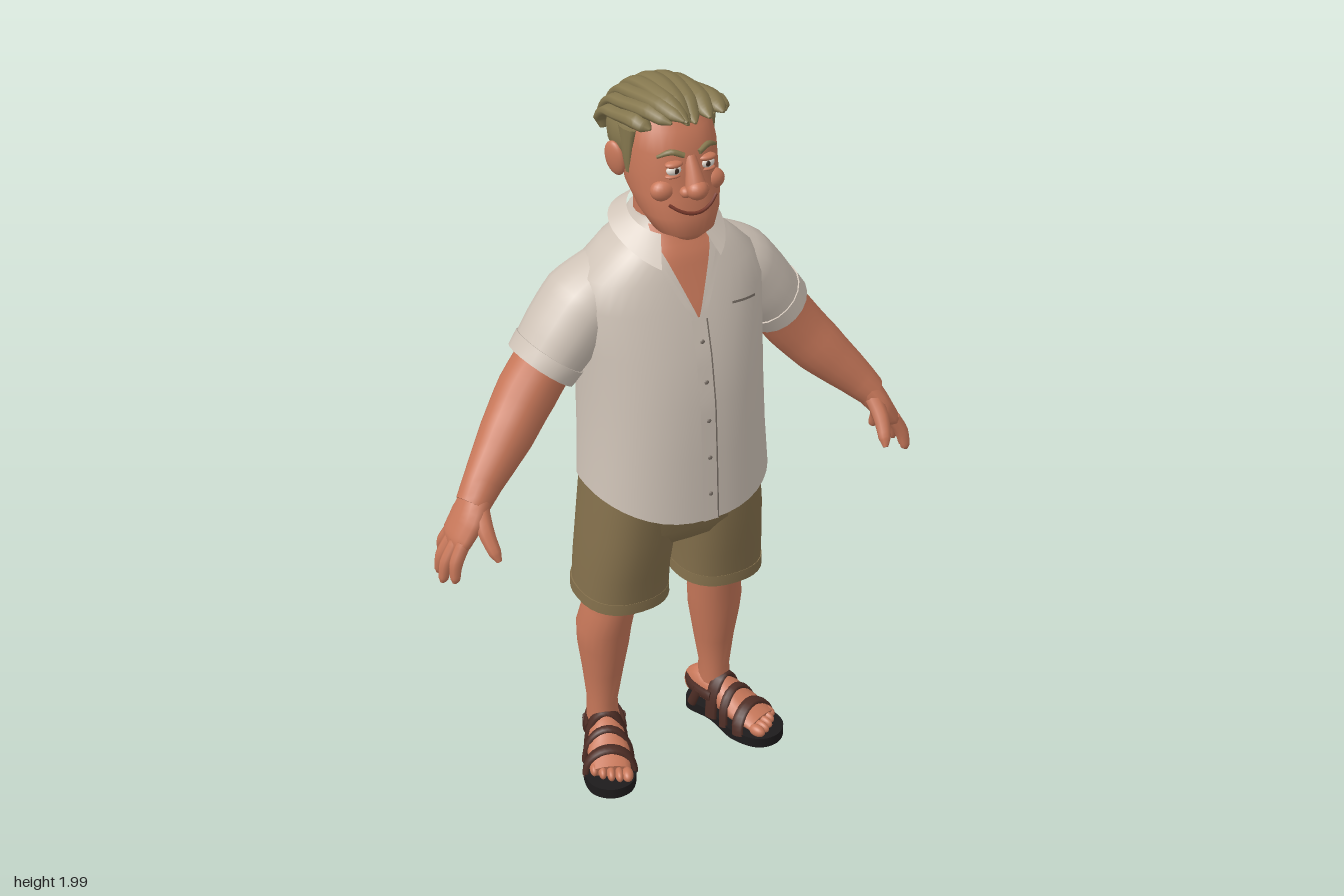
import * as THREE from 'three';

const mat = (name, color) => Object.assign(new THREE.MeshStandardMaterial({ color, side: THREE.DoubleSide }), { name });
const V = (x, y, z) => new THREE.Vector3(x, y, z);

// Closed tube through rings of points, capped at both ends
function loft(rings) {
  const n = rings[0].length, pos = [], idx = [];
  rings.forEach(r => r.forEach(p => pos.push(p.x, p.y, p.z)));
  for (let i = 0; i < rings.length - 1; i++) for (let j = 0; j < n; j++) {
    const a = i * n + j, b = i * n + (j + 1) % n;
    idx.push(a, b, b + n, a, b + n, a + n);
  }
  [rings[0], rings[rings.length - 1]].forEach((r, end) => {
    const c = V(0, 0, 0), base = pos.length / 3;
    r.forEach(p => c.addScaledVector(p, 1 / n));
    [c, ...r].forEach(p => pos.push(p.x, p.y, p.z));
    for (let j = 0; j < n; j++) {
      const a = base + 1 + j, b = base + 1 + (j + 1) % n;
      end ? idx.push(base, a, b) : idx.push(base, b, a);
    }
  });
  const g = new THREE.BufferGeometry();
  g.setAttribute('position', new THREE.Float32BufferAttribute(pos, 3));
  g.setIndex(idx);
  g.computeVertexNormals();
  return g;
}

// Horizontal rings from rows [y, centreX, halfWidth, frontZ, backZ]; lift raises the sides of the lowest ring
function stack(rows, p = 2.3, lift = 0, n = 32) {
  const pw = v => Math.sign(v) * Math.abs(v) ** (2 / p);
  return loft(rows.map(([y, cx, rx, f, b], i) => Array.from({ length: n }, (_, j) => {
    const a = j / n * Math.PI * 2, s = Math.sin(a), c = Math.cos(a);
    return V(cx + rx * pw(s), y + (i ? 0 : lift * s * s), (f + b) / 2 + (f - b) / 2 * pw(c));
  })));
}

// Front z of a stack at (x, y)
function frontZ(rows, x, y, p = 2.3) {
  let i = 0;
  while (i < rows.length - 2 && rows[i + 1][0] < y) i++;
  const t = (y - rows[i][0]) / (rows[i + 1][0] - rows[i][0]);
  const [, , rx, f, b] = rows[i].map((v, k) => v + (rows[i + 1][k] - v) * t);
  return (f + b) / 2 + (f - b) / 2 * Math.max(0, 1 - Math.abs(x / rx) ** p) ** (1 / p);
}

// Tapered limb along points [x, y, z, radiusAcross, radiusAlongRef]
function limb(rows, ref = V(0, 0, 1), n = 12, steps = (rows.length - 1) * 4) {
  const curve = new THREE.CatmullRomCurve3(rows.map(r => V(r[0], r[1], r[2])));
  const rings = [];
  for (let i = 0; i <= steps; i++) {
    const t = i / steps, q = t * (rows.length - 1), k = Math.min(Math.floor(q), rows.length - 2), f = q - k;
    const ru = rows[k][3] + (rows[k + 1][3] - rows[k][3]) * f, rw = rows[k][4] + (rows[k + 1][4] - rows[k][4]) * f;
    const c = curve.getPoint(t), T = curve.getTangent(t);
    const w = ref.clone().addScaledVector(T, -ref.dot(T)).normalize(), u = T.clone().cross(w);
    rings.push(Array.from({ length: n }, (_, j) => {
      const a = j / n * Math.PI * 2;
      return c.clone().addScaledVector(u, ru * Math.sin(a)).addScaledVector(w, rw * Math.cos(a));
    }));
  }
  return loft(rings);
}

// Open sheet from a function of (u, v)
function sheet(fn, nu, nv) {
  const g = new THREE.PlaneGeometry(1, 1, nu, nv), P = g.attributes.position;
  for (let i = 0; i < P.count; i++) {
    const q = fn(P.getX(i) + 0.5, P.getY(i) + 0.5);
    P.setXYZ(i, q.x, q.y, q.z);
  }
  g.computeVertexNormals();
  return g;
}

export function createModel() {
  const skin = mat('skin', 0xc8785a), cloth = mat('shirt cloth', 0xcfc3b7), khaki = mat('shorts cloth', 0x84704c);
  const hairM = mat('hair', 0x86784f), leather = mat('sandal leather', 0x4d2d25), rubber = mat('sole rubber', 0x1d1b1c);
  const white = mat('eye white', 0xe8e0d6), dark = mat('iris', 0x3a2a22), lip = mat('mouth', 0x7a3a2c), seam = mat('seam', 0x7d736a);
  const model = new THREE.Group();
  const add = (name, geo, m, parent = model) => {
    const mesh = new THREE.Mesh(geo, m);
    mesh.name = name;
    parent.add(mesh);
    return mesh;
  };
  const ball = (name, m, x, y, z, rx, ry, rz, parent) => {
    const b = add(name, new THREE.SphereGeometry(1, 20, 14), m, parent);
    b.position.set(x, y, z);
    b.scale.set(rx, ry, rz);
    return b;
  };
  const X = V(1, 0, 0), Y = V(0, 1, 0);

  // Shirt body, opening, placket and pocket edge
  const body = [[0.87, 0, 0.25, 0.215, -0.2], [1.05, 0, 0.243, 0.205, -0.205], [1.2, 0, 0.24, 0.195, -0.212],
    [1.33, 0, 0.246, 0.172, -0.215], [1.45, 0, 0.255, 0.138, -0.203], [1.52, 0, 0.232, 0.112, -0.185],
    [1.58, 0, 0.165, 0.09, -0.165], [1.62, 0, 0.105, 0.065, -0.14], [1.66, 0, 0.085, 0.045, -0.118]];
  add('shirtBody', stack(body, 2.3, 0.06, 40), cloth);
  const onShirt = (x, y, d = 0.005) => V(x, y, frontZ(body, x, y) + d);
  const vee = v => 0.002 + 0.073 * Math.min(1, v / 0.85);
  add('openNeck', sheet((u, v) => onShirt((2 * u - 1) * vee(v), 1.43 + 0.22 * v), 12, 14), skin);
  for (const s of [-1, 1])
    add('neckEdge', sheet((u, v) => onShirt(s * (vee(v) + 0.014 * u), 1.425 + 0.17 * v, 0.008), 2, 12), cloth);
  add('placket', sheet((u, v) => onShirt(-0.022 + 0.044 * u, 0.872 + 0.555 * v, 0.006), 2, 18), cloth);
  add('placketSeam', sheet((u, v) => onShirt(0.018 + 0.004 * u, 0.875 + 0.55 * v, 0.008), 1, 18), seam);
  add('pocketEdge', sheet((u, v) => onShirt(0.1 + 0.08 * u, 1.437 - 0.012 * u + 0.006 * v, 0.006), 8, 1), seam);
  for (let i = 0; i < 5; i++) {
    const p = onShirt(0, 0.95 + i * 0.105, 0.007);
    ball('button', seam, p.x, p.y, p.z, 0.006, 0.006, 0.003);
  }
  // Folded collar, open at the front
  add('collar', sheet((u, v) => {
    const a = 0.6 + u * (2 * Math.PI - 1.2), s = Math.sin(a), c = Math.cos(a), f = (1 + c) / 2;
    const top = V(0.098 * s, 1.685 - 0.06 * f, -0.025 + 0.095 * c);
    return top.lerp(V(0.145 * s, 1.65 - 0.105 * f * f, -0.03 + (c > 0 ? 0.168 : 0.128) * c), 1 - v);
  }, 32, 2), cloth);

  // Shorts
  add('shortsSeat', stack([[0.75, 0, 0.2, 0.11, -0.14], [0.8, 0, 0.238, 0.14, -0.16], [0.94, 0, 0.235, 0.15, -0.165]], 2.6), khaki);

  for (const s of [-1, 1]) {
    const L = rows => rows.map(([x, ...r]) => [x * s, ...r]);
    // Sleeve and rolled cuff
    add('sleeve', limb(L([[0.14, 1.49, -0.06, 0.08, 0.1], [0.215, 1.43, -0.06, 0.102, 0.115], [0.28, 1.355, -0.058, 0.097, 0.11],
      [0.335, 1.287, -0.055, 0.086, 0.1]]), undefined, 20), cloth);
    add('sleeveCuff', limb(L([[0.311, 1.316, -0.056, 0.095, 0.108], [0.338, 1.282, -0.055, 0.091, 0.105]]), undefined, 20, 1), cloth);
    // Arm and hand
    add('arm', limb(L([[0.3, 1.33, -0.055, 0.075, 0.08], [0.38, 1.22, -0.05, 0.078, 0.08], [0.455, 1.13, -0.02, 0.071, 0.07],
      [0.54, 1.04, 0.02, 0.052, 0.052], [0.58, 0.995, 0.04, 0.042, 0.048]]), undefined, 16), skin);
    add('palm', limb(L([[0.555, 1.025, 0.03, 0.04, 0.045], [0.595, 0.965, 0.042, 0.034, 0.064], [0.628, 0.915, 0.044, 0.027, 0.062],
      [0.642, 0.89, 0.044, 0.014, 0.045]]), undefined, 14), skin);
    const fingers = [[[0.628, 0.92, 0.085], [0.665, 0.82, 0.1]], [[0.636, 0.912, 0.058], [0.683, 0.806, 0.063]],
      [[0.636, 0.91, 0.03], [0.675, 0.808, 0.02]], [[0.622, 0.918, 0.003], [0.642, 0.828, -0.035]]];
    for (const [a, b] of fingers) {
      const mid = a.map((v, i) => (v + b[i]) / 2);
      add('finger', limb(L([[...a, 0.019, 0.018], [mid[0] + 0.008, mid[1], mid[2], 0.018, 0.017],
        [...b.map((v, i) => v + (a[i] - v) * 0.1), 0.013, 0.013], [...b, 0.005, 0.005]]), undefined, 8), skin);
    }
    add('thumb', limb(L([[0.57, 1.0, 0.06, 0.024, 0.024], [0.575, 0.95, 0.105, 0.023, 0.022], [0.568, 0.905, 0.14, 0.018, 0.017],
      [0.563, 0.885, 0.155, 0.007, 0.007]]), X, 8), skin);

    // Shorts leg with a stitched hem
    add('shortsLeg', stack([[0.56, s * 0.141, 0.121, 0.105, -0.155], [0.66, s * 0.138, 0.12, 0.115, -0.153],
      [0.78, s * 0.128, 0.12, 0.135, -0.155], [0.93, s * 0.117, 0.117, 0.14, -0.155]], 2.4), khaki);
    add('shortsHem', stack([[0.558, s * 0.141, 0.124, 0.109, -0.159], [0.59, s * 0.141, 0.123, 0.109, -0.158]], 2.4), khaki);
    // Bare leg
    add('leg', stack([[0.07, 0.175, 0.042, -0.02, -0.125], [0.17, 0.175, 0.041, -0.025, -0.12], [0.27, 0.172, 0.054, -0.01, -0.136],
      [0.36, 0.171, 0.067, 0.008, -0.15], [0.42, 0.17, 0.071, 0.018, -0.15], [0.49, 0.161, 0.066, 0.035, -0.138],
      [0.55, 0.154, 0.066, 0.05, -0.13], [0.64, 0.15, 0.078, 0.06, -0.13]].map(r => (r[1] *= s, r)), 2.1, 0, 20), skin);

    // Foot and sandal, turned outward
    const foot = new THREE.Group();
    foot.name = 'foot';
    foot.position.set(s * 0.17, 0, -0.07);
    foot.rotation.y = s * 0.37;
    model.add(foot);
    const print = new THREE.Shape().moveTo(0, 0.085);
    print.splineThru([[0.045, 0.055], [0.046, -0.03], [0.072, -0.13], [0.055, -0.21], [0, -0.238], [-0.055, -0.21],
      [-0.072, -0.13], [-0.046, -0.03], [-0.045, 0.055], [0, 0.085]].map(p => new THREE.Vector2(...p)));
    add('sole', new THREE.ExtrudeGeometry(print, { depth: 0.03, bevelEnabled: false, curveSegments: 36 }).rotateX(-Math.PI / 2), rubber, foot);
    add('footTop', limb([[0, 0.07, -0.075, 0.03, 0.035], [0, 0.085, -0.03, 0.043, 0.055], [0, 0.08, 0.04, 0.048, 0.052],
      [0, 0.062, 0.11, 0.058, 0.034], [0, 0.048, 0.18, 0.054, 0.02]], Y, 16), skin, foot);
    for (let i = 0; i < 5; i++)
      ball('toe', skin, s * (-0.043 + i * 0.022), 0.047, 0.198 - i * i * 0.0022, i ? 0.012 : 0.016, 0.017, 0.026, foot);
    const arch = (z, w, h, tilt, width) => limb(Array.from({ length: 9 }, (_, i) => {
      const a = i / 8 * Math.PI;
      return [Math.cos(a) * w, 0.02 + Math.sin(a) * h, z - tilt * Math.sin(a), 0.009, width];
    }), undefined, 8, 16);
    add('toeStrap', arch(0.15, 0.068, 0.068, 0.015, 0.02), leather, foot);
    add('instepStrap', arch(0.095, 0.064, 0.094, 0.015, 0.015), leather, foot);
    add('ankleStrap', arch(0.04, 0.054, 0.122, 0.004, 0.021), leather, foot);
    add('heelStrap', limb(Array.from({ length: 9 }, (_, i) => {
      const a = (i / 8 - 0.5) * Math.PI * 1.1;
      return [Math.sin(a) * 0.051, 0.085, 0.02 - Math.cos(a) * 0.103, 0.008, 0.018];
    }), Y, 8, 16), leather, foot);
    for (const q of [-1, 1])
      add('sideStrap', limb([[q * 0.05, 0.03, -0.035, 0.008, 0.014], [q * 0.053, 0.09, -0.01, 0.008, 0.014]], undefined, 8, 3), leather, foot);
  }

  // Neck and head
  add('neck', limb([[0, 1.52, -0.045, 0.088, 0.09], [0, 1.62, -0.035, 0.078, 0.078], [0, 1.73, -0.03, 0.08, 0.08]], undefined, 20), skin);
  const face = [[1.633, 0, 0.045, 0.118, 0.03], [1.655, 0, 0.075, 0.136, -0.01], [1.7, 0, 0.098, 0.136, -0.06], [1.75, 0, 0.11, 0.125, -0.11],
    [1.8, 0, 0.113, 0.112, -0.13], [1.86, 0, 0.112, 0.106, -0.145], [1.91, 0, 0.106, 0.084, -0.15], [1.95, 0, 0.08, 0.05, -0.12]];
  add('head', stack(face, 2.3, 0.01), skin);
  const fz = (x, y) => frontZ(face, x, y);
  add('nose', limb([[0, 1.85, 0.098, 0.014, 0.012], [0, 1.815, 0.115, 0.02, 0.018], [0, 1.775, 0.13, 0.028, 0.026]], undefined, 12), skin);
  ball('noseTip', skin, 0, 1.775, 0.136, 0.028, 0.025, 0.026);
  const smile = (y, bend, r) => limb(Array.from({ length: 9 }, (_, i) => {
    const x = -0.064 + i * 0.016, yy = y + bend * (x / 0.064) ** 2;
    return [x, yy, fz(x, yy) + 0.001, r, r];
  }), undefined, 6, 16);
  add('smile', smile(1.712, 0.026, 0.0045), lip);
  for (const s of [-1, 1]) {
    ball('nostril', skin, s * 0.024, 1.768, 0.122, 0.015, 0.014, 0.016);
    ball('cheek', skin, s * 0.066, 1.768, 0.086, 0.034, 0.028, 0.026);
    const z = fz(0.045, 1.823);
    ball('eye', white, s * 0.045, 1.823, z - 0.002, 0.02, 0.014, 0.012);
    ball('iris', dark, s * 0.043, 1.823, z + 0.007, 0.007, 0.008, 0.004);
    ball('upperLid', skin, s * 0.045, 1.838, z - 0.002, 0.024, 0.009, 0.015);
    ball('lowerLid', skin, s * 0.046, 1.807, z - 0.004, 0.022, 0.006, 0.013);
    add('eyebrow', limb([[s * 0.02, 1.858, fz(0.02, 1.858) + 0.002, 0.007, 0.007], [s * 0.05, 1.868, fz(0.05, 1.868) + 0.002, 0.008, 0.008],
      [s * 0.08, 1.855, fz(0.08, 1.855) + 0.002, 0.004, 0.004]], undefined, 8), hairM);
    const ear = ball('ear', skin, s * 0.123, 1.805, -0.055, 0.015, 0.046, 0.031);
    ear.rotation.set(-0.15, s * -0.35, s * -0.15);
    add('sideburn', limb([[s * 0.108, 1.9, -0.02, 0.016, 0.04], [s * 0.11, 1.83, -0.015, 0.01, 0.022], [s * 0.109, 1.785, -0.012, 0.006, 0.01]], undefined, 10), hairM);
  }

  // Hair mass with clumps swept forward into a quiff
  ball('hairMass', hairM, 0, 1.865, -0.062, 0.127, 0.117, 0.138);
  for (let i = 0; i < 9; i++) {
    const phi = -1.1 + i * 0.275, c = Math.cos(phi), x = Math.sin(phi) * 0.122, j = Math.sin(i * 7.3) * 0.012;
    const rows = [3.5, 2.9, 2.2, 1.6].map((t, k) =>
      [x, 1.865 + 0.113 * c * Math.sin(t), -0.062 + 0.135 * (0.35 + 0.65 * c) * Math.cos(t), k ? 0.014 : 0.005, k ? 0.027 : 0.01]);
    rows.push([x * 0.95 + j, 1.893 + 0.083 * c + j * 0.5, 0.045 * c, 0.018, 0.026],
      [x * 0.85 + j * 1.5, 1.893 + 0.068 * c + j, 0.1 * c + j, 0.014, 0.02],
      [x * 0.8 + j * 2, 1.893 + 0.062 * c + j, 0.135 * c + j, 0.003, 0.004]);
    add('hairClump', limb(rows, X, 8), hairM);
  }
  return model;
}
